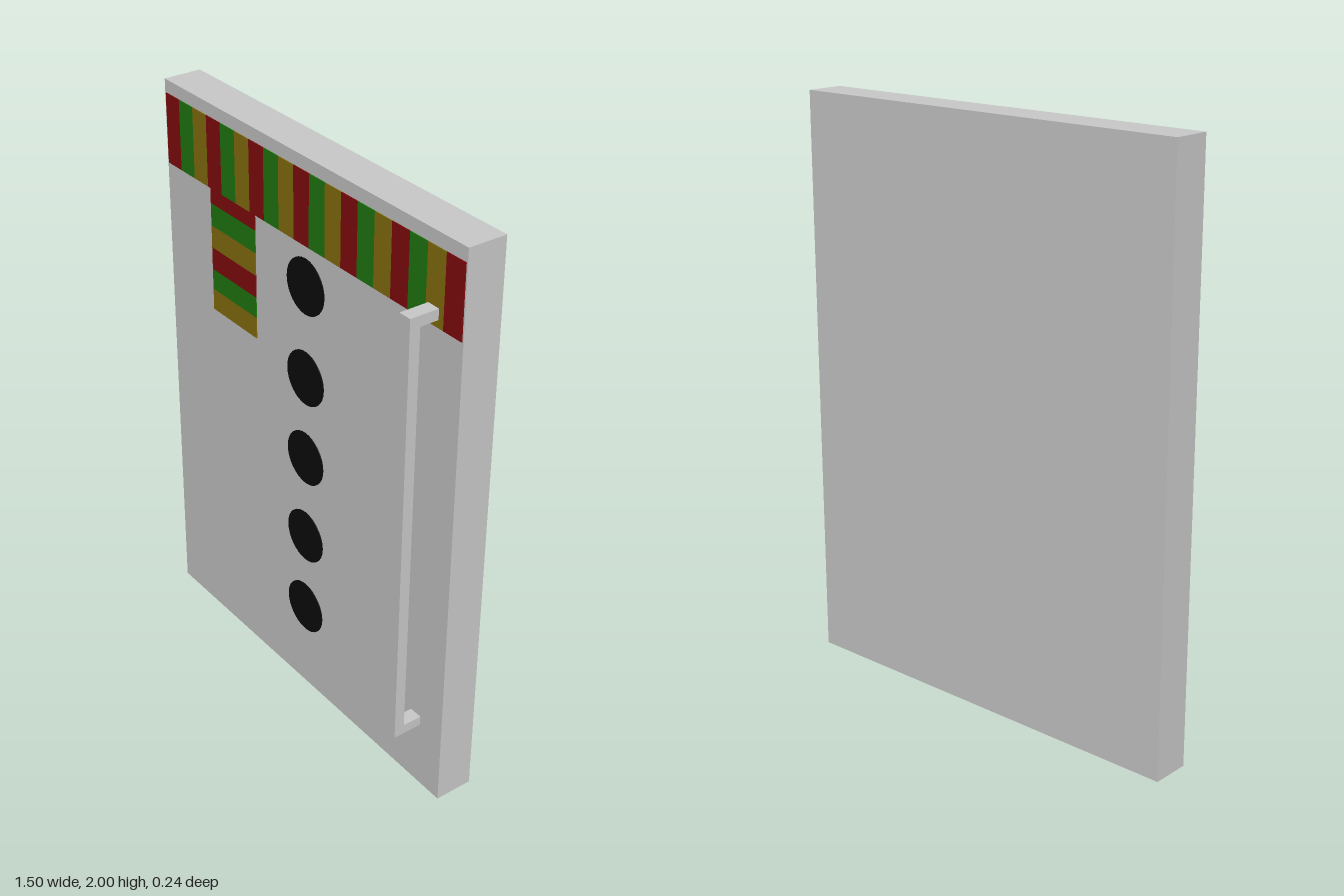
import * as THREE from 'three';

const mat = (name, color) => {
  const m = new THREE.MeshStandardMaterial({ color });
  m.name = name;
  return m;
};

export function createModel() {
  const grey = mat('steel grey', 0xc9c9c9);
  const black = mat('button black', 0x0c0c0c);
  const red = mat('scarf red', 0x850c0f);
  const green = mat('scarf green', 0x1f7a10);
  const gold = mat('scarf gold', 0x86700f);

  const model = new THREE.Group();
  model.name = 'decoratedDoor';
  const FRONT = 0.015, PLATE = 0.003;

  const add = (parent, name, geometry, material) => {
    const mesh = new THREE.Mesh(geometry, material);
    mesh.name = name;
    parent.add(mesh);
    return mesh;
  };
  // Box given by its extents
  const box = (parent, name, material, x0, x1, y0, y1, z0, z1) =>
    add(parent, name, new THREE.BoxGeometry(x1 - x0, y1 - y0, z1 - z0), material)
      .position.set((x0 + x1) / 2, (y0 + y1) / 2, (z0 + z1) / 2);
  const plate = (parent, name, material, x0, x1, y0, y1) =>
    box(parent, name, material, x0, x1, y0, y1, FRONT - 0.001, FRONT + PLATE);

  // Door slab
  box(model, 'doorPanel', grey, -0.75, 0.75, 0, 2, -0.12, FRONT);

  // Handle: a C-shaped profile in z and y, extruded across x
  const c = new THREE.Shape([
    [FRONT, 0.246], [0.12, 0.246], [0.12, 1.773], [FRONT, 1.773],
    [FRONT, 1.737], [0.083, 1.737], [0.083, 0.28], [FRONT, 0.28],
  ].map(([z, y]) => new THREE.Vector2(-z, y)));
  const handleGeo = new THREE.ExtrudeGeometry(c, { depth: 0.047, bevelEnabled: false });
  handleGeo.rotateY(Math.PI / 2);
  add(model, 'handle', handleGeo, grey).position.x = 0.599;

  // Scarf band with repeating vertical stripes
  const scarf = new THREE.Group();
  scarf.name = 'scarf';
  model.add(scarf);
  const stripes = [red, green, gold];
  const x0 = -0.743, count = 19, w = 1.488 / count;
  for (let i = 0; i < count; i++) {
    plate(scarf, 'scarfStripe', stripes[i % 3], x0 + i * w, x0 + (i + 1) * w, 1.711, 1.955);
  }

  // Hanging end of the scarf with horizontal stripes
  const levels = [1.711, 1.658, 1.579, 1.499, 1.42, 1.346, 1.27];
  for (let i = 0; i < 6; i++) {
    plate(scarf, 'scarfTailStripe', stripes[i % 3], -0.495, -0.246, levels[i + 1], levels[i]);
  }

  // Column of round buttons
  for (const y of [1.573, 1.247, 0.945, 0.632, 0.332]) {
    const button = add(model, 'button', new THREE.CylinderGeometry(0.096, 0.096, 0.004, 32), black);
    button.rotation.x = Math.PI / 2;
    button.position.set(0.021, y, FRONT + 0.001);
  }
  return model;
}
